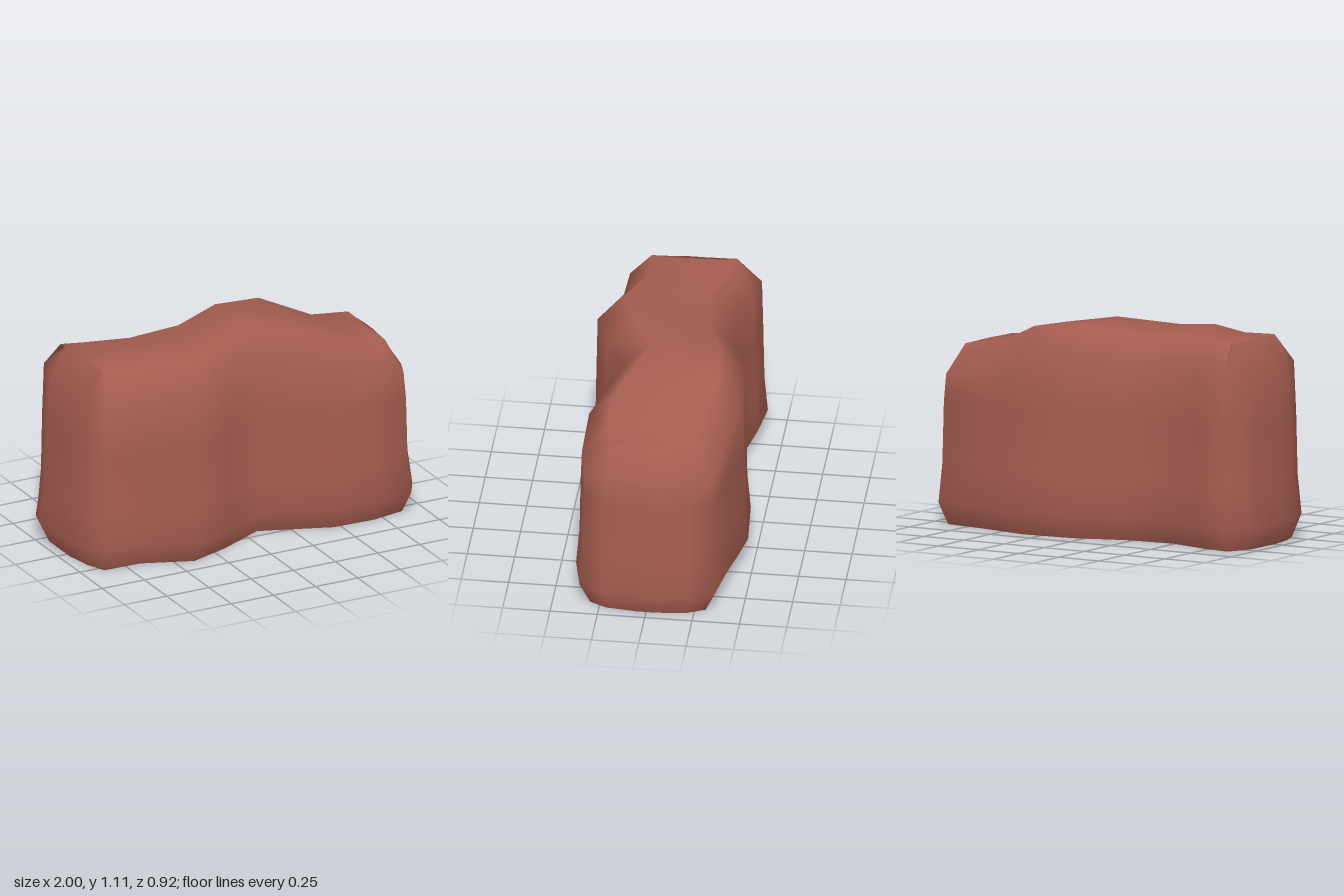
import * as THREE from 'three';

// Widest footprint (x, z): left end, front, right end, back. Point i faces point 23 - i.
const outline = [
  [-1, 0.04], [-0.97, 0.2],
  [-0.9, 0.34], [-0.68, 0.35], [-0.4, 0.455], [-0.16, 0.375],
  [0.08, 0.25], [0.45, 0.39], [0.7, 0.4], [0.91, 0.355],
  [0.98, 0.23], [1, 0.06], [1, -0.06], [0.98, -0.23],
  [0.91, -0.36], [0.66, -0.4], [0.36, -0.465], [0.05, -0.44],
  [-0.22, -0.35], [-0.48, -0.32], [-0.7, -0.385], [-0.9, -0.41],
  [-0.975, -0.29], [-1, -0.2],
];
const N = outline.length;

// Crest height along x
const crest = [[-0.83, 1.08], [-0.62, 1.075], [-0.38, 1.088], [-0.18, 1.08], [0.08, 1.115],
  [0.33, 1.095], [0.41, 1.08], [0.62, 0.965], [0.84, 0.95]];
function crestHeight(x) {
  if (x <= crest[0][0]) return crest[0][1];
  for (let i = 1; i < crest.length; i++) {
    const [x0, y0] = crest[i - 1], [x1, y1] = crest[i];
    if (x <= x1) return y0 + (y1 - y0) * (x - x0) / (x1 - x0);
  }
  return crest[crest.length - 1][1];
}

// Rings from ground to top: inset in x and z, and height as a function of x
const levels = [
  { dx: 0.055, dz: 0.06, y: () => 0 },
  { dx: 0, dz: 0, y: () => 0.12 },
  { dx: 0.03, dz: 0.018, y: () => 0.33 },
  { dx: 0.042, dz: 0.024, y: () => 0.65 },
  { dx: 0.065, dz: 0.03, y: (x) => crestHeight(x) - 0.15 },
  { dx: 0.16, dz: 0.165, y: crestHeight },
];

function ring({ dx, dz, y }) {
  return outline.map(([x, z], i) => {
    const a = outline[(i + N - 1) % N], b = outline[(i + 1) % N];
    const tx = b[0] - a[0], tz = b[1] - a[1], len = Math.hypot(tx, tz);
    const px = x + (tz / len) * dx, pz = z - (tx / len) * dz;
    return [px, y(px), pz];
  });
}

function buildGeometry(points, index) {
  const g = new THREE.BufferGeometry();
  g.setAttribute('position', new THREE.Float32BufferAttribute(points.flat(), 3));
  g.setIndex(index);
  g.computeVertexNormals();
  return g;
}

// Strips between facing points of one ring, closing it as a cap
function capIndex(start, up) {
  const index = [];
  for (let i = 0; i < N / 2 - 1; i++) {
    const a = start + i, b = a + 1, c = start + N - 2 - i, d = c + 1;
    index.push(...(up ? [a, b, c, a, c, d] : [a, c, b, a, d, c]));
  }
  return index;
}

export function createModel() {
  const group = new THREE.Group();
  group.name = 'rock';
  const stone = new THREE.MeshStandardMaterial({ color: 0xa55d50 });
  stone.name = 'red brown stone';

  // Smooth sides and top
  const rings = levels.map(ring);
  const index = [];
  for (let l = 0; l < rings.length - 1; l++) {
    for (let i = 0; i < N; i++) {
      const j = (i + 1) % N, a = l * N, b = a + N;
      index.push(a + i, a + j, b + j, a + i, b + j, b + i);
    }
  }
  index.push(...capIndex((rings.length - 1) * N, true));
  const body = new THREE.Mesh(buildGeometry(rings.flat(), index), stone);
  body.name = 'rockBody';

  // Flat underside, kept separate for a sharp edge
  const underside = new THREE.Mesh(buildGeometry(rings[0], capIndex(0, false)), stone);
  underside.name = 'underside';

  group.add(body, underside);
  return group;
}
